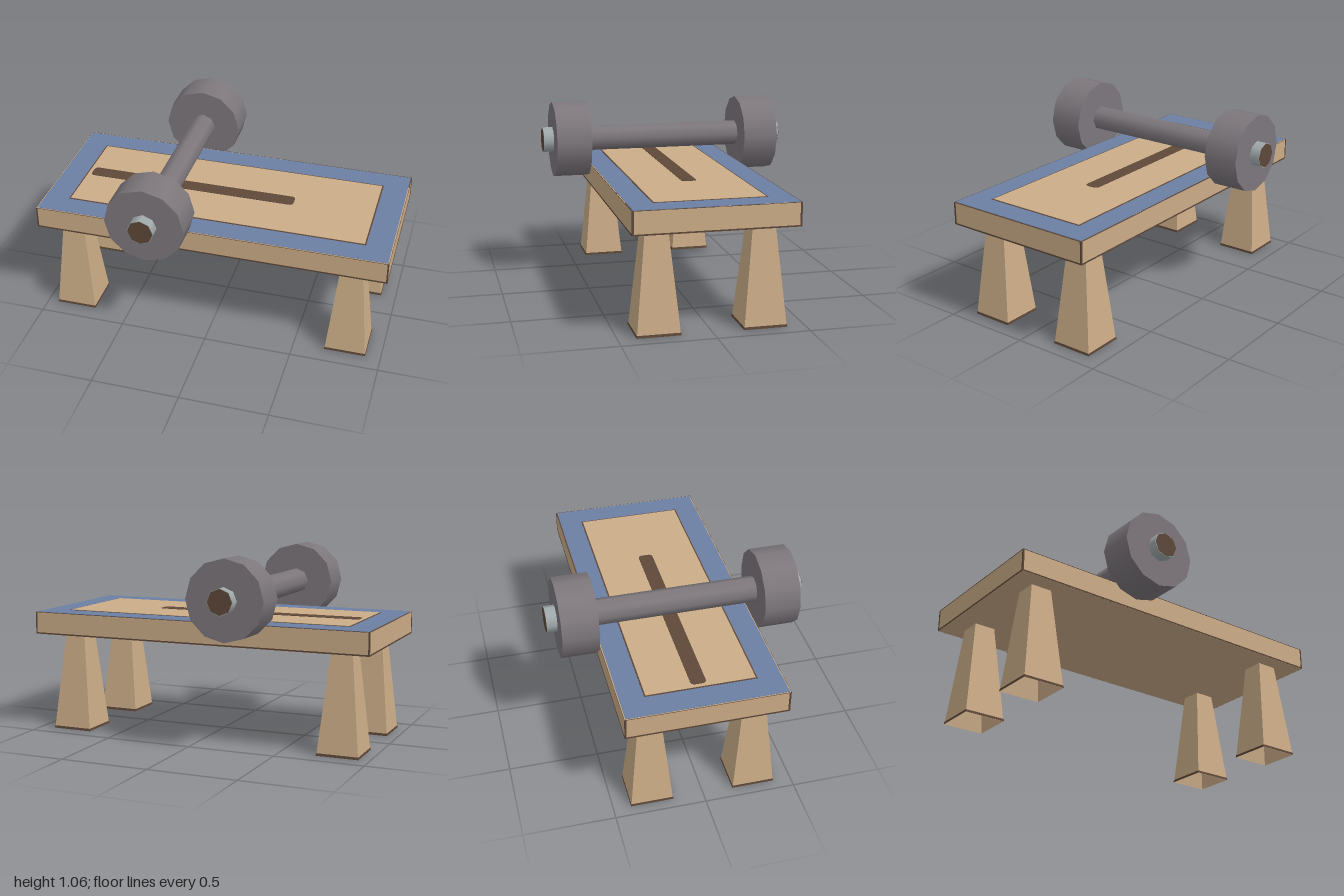
import * as THREE from 'three';

function material(name, color) {
  const m = new THREE.MeshStandardMaterial({ color });
  m.name = name;
  return m;
}

export function createModel() {
  const model = new THREE.Group();
  model.name = 'weightBench';
  const wood = material('tan wood', 0xcbac87);
  const openWood = material('tan leg wood', 0xcbac87);
  openWood.side = THREE.DoubleSide;
  const brown = material('dark brown', 0x5e4839);
  const blue = material('blue border', 0x6b7fa3);
  const iron = material('grey iron', 0x7d777c);
  const steel = material('pale steel', 0xa0a9ab);

  function add(parent, name, geometry, mat, x = 0, y = 0, z = 0) {
    const mesh = new THREE.Mesh(geometry, mat);
    mesh.name = name;
    mesh.position.set(x, y, z);
    parent.add(mesh);
    return mesh;
  }
  const box = (w, h, d) => new THREE.BoxGeometry(w, h, d);

  // Bench slab with a layered top
  const bench = new THREE.Group();
  bench.name = 'bench';
  model.add(bench);
  add(bench, 'slab', box(1.996, 0.128, 0.876), wood, 0, 0.624, 0);
  add(bench, 'topEdge', box(2, 0.002, 0.88), brown, 0, 0.687, 0);
  add(bench, 'blueBorder', box(1.986, 0.002, 0.866), blue, 0, 0.689, 0);
  add(bench, 'panelOutline', box(1.708, 0.002, 0.608), brown, 0, 0.6905, 0);
  add(bench, 'topPanel', box(1.692, 0.002, 0.592), wood, 0, 0.692, 0);

  // Rounded dark stripe on the panel
  const x0 = -0.825, x1 = 0.39, h = 0.042, r = 0.025;
  const stripe = new THREE.Shape();
  stripe.moveTo(x0 + r, -h);
  stripe.lineTo(x1 - r, -h);
  stripe.quadraticCurveTo(x1, -h, x1, -h + r);
  stripe.lineTo(x1, h - r);
  stripe.quadraticCurveTo(x1, h, x1 - r, h);
  stripe.lineTo(x0 + r, h);
  stripe.quadraticCurveTo(x0, h, x0, h - r);
  stripe.lineTo(x0, -h + r);
  stripe.quadraticCurveTo(x0, -h, x0 + r, -h);
  const stripeGeometry = new THREE.ExtrudeGeometry(stripe, { depth: 0.002, bevelEnabled: false, curveSegments: 4 });
  stripeGeometry.rotateX(-Math.PI / 2);
  add(bench, 'stripe', stripeGeometry, brown, 0, 0.693, -0.005);

  // Thin dark edging on the slab sides
  for (const s of [-1, 1]) {
    add(bench, 'longBottomEdge', box(2, 0.008, 0.004), brown, 0, 0.565, s * 0.438);
    add(bench, 'endBottomEdge', box(0.004, 0.008, 0.88), brown, s * 0.998, 0.565, 0);
    for (const t of [-1, 1]) {
      add(bench, 'cornerEdge', box(0.008, 0.127, 0.01), brown, s * 0.996, 0.6245, t * 0.435);
    }
  }

  // Square tapered tube with flat faces
  function taper(topHalf, bottomHalf, height) {
    const g = new THREE.CylinderGeometry(topHalf * Math.SQRT2, bottomHalf * Math.SQRT2, height, 4, 1, true, Math.PI / 4);
    const flat = g.toNonIndexed();
    flat.computeVertexNormals();
    return flat;
  }

  // Four hollow legs with dark feet
  const legGeometry = taper(0.06, 0.116, 0.56);
  const footGeometry = taper(0.1165, 0.118, 0.014);
  for (const x of [-0.822, 0.795]) {
    for (const z of [-0.285, 0.285]) {
      const leg = new THREE.Group();
      leg.name = 'leg';
      leg.position.set(x, 0, z);
      model.add(leg);
      add(leg, 'legPost', legGeometry, openWood, 0, 0.28, 0);
      add(leg, 'footEdge', footGeometry, brown, 0, 0.007, 0);
    }
  }

  // Barbell lying across the bench
  const barbell = new THREE.Group();
  barbell.name = 'barbell';
  barbell.position.set(-0.28, 0.838, 0);
  model.add(barbell);
  const rod = (radius, length, sides) =>
    new THREE.CylinderGeometry(radius, radius, length, sides).rotateX(Math.PI / 2);
  add(barbell, 'bar', rod(0.073, 0.94, 8), iron);
  for (const s of [-1, 1]) {
    add(barbell, 'weight', rod(0.221, 0.2, 12), iron, 0, 0, s * 0.555);
    add(barbell, 'barEnd', rod(0.073, 0.072, 8), steel, 0, 0, s * 0.677);
    add(barbell, 'endCap', rod(0.07, 0.004, 8), brown, 0, 0, s * 0.713);
  }
  return model;
}
